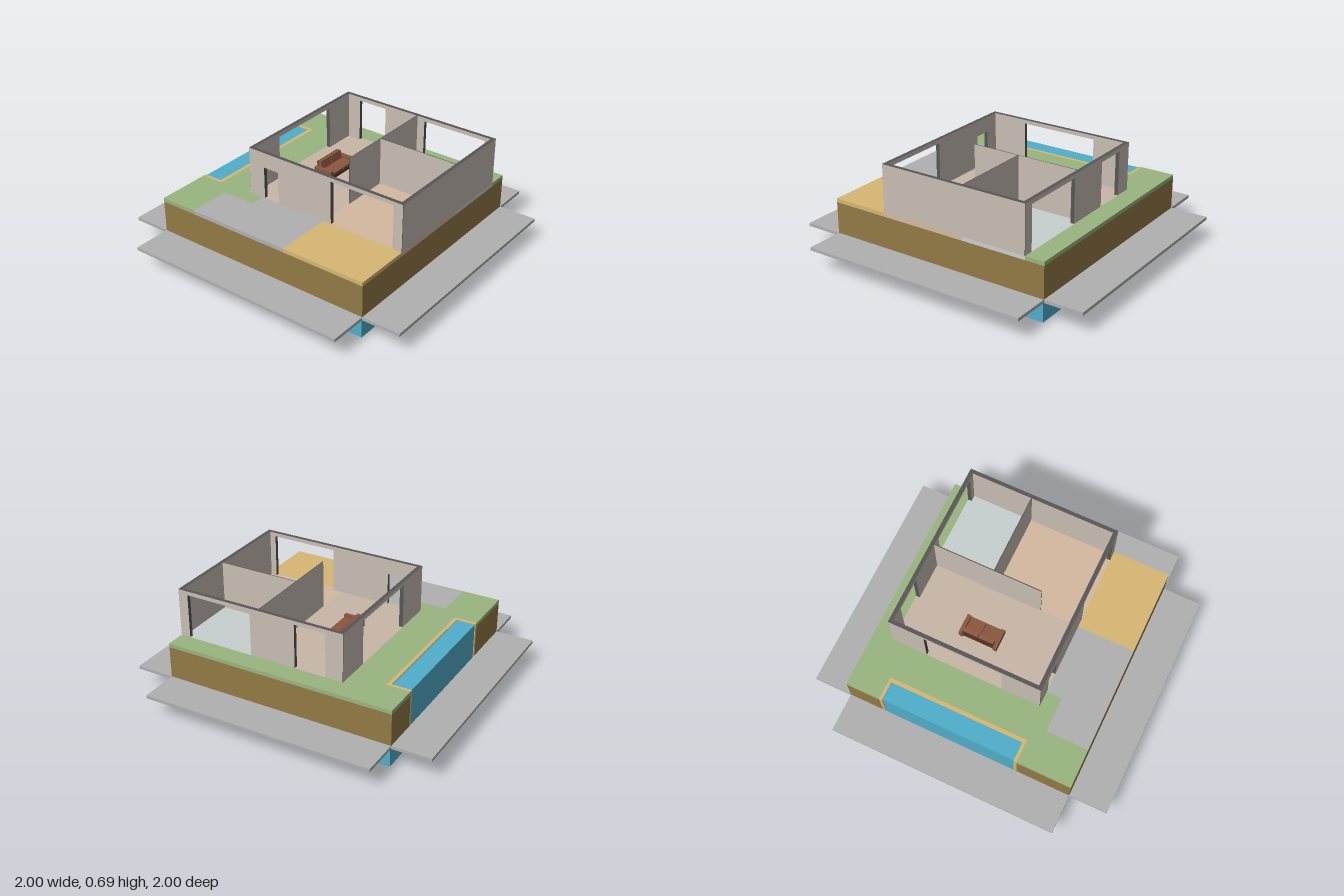
import * as THREE from 'three';

const mat = (color) => new THREE.MeshStandardMaterial({ color });
const M = {
  road: mat(0xb0b0b0), water: mat(0x50aecb), soil: mat(0x937a45), grass: mat(0x9ab580),
  sand: mat(0xd6b774), path: mat(0xb0b0b0), living: mat(0xc8b7a8), bedroom: mat(0xd5b99f),
  bath: mat(0xc8d0d0), wall: mat(0xc8beb4), edge: mat(0x585555),
  leather: mat(0x8a5640), darkLeather: mat(0x5a3424),
};
const FLOOR = 0.38, TILE = 0.355, BASE = 0.15;

// Box given by its extents
function box(name, material, [x0, x1], [y0, y1], [z0, z1]) {
  const mesh = new THREE.Mesh(new THREE.BoxGeometry(x1 - x0, y1 - y0, z1 - z0), material);
  mesh.position.set((x0 + x1) / 2, (y0 + y1) / 2, (z0 + z1) / 2);
  mesh.name = name;
  return mesh;
}

// Plan outline of [x, z] points raised between two heights
function plan(name, material, points, y0, y1) {
  const shape = new THREE.Shape(points.map(([x, z]) => new THREE.Vector2(x, -z)));
  const geo = new THREE.ExtrudeGeometry(shape, { depth: y1 - y0, bevelEnabled: false });
  geo.rotateX(-Math.PI / 2).translate(0, y0, 0);
  const mesh = new THREE.Mesh(geo, material);
  mesh.name = name;
  return mesh;
}

// Wall from a to b with floor-level openings [from, to, top]; its cut edges are dark
function wall(name, a, b, openings, depth, top) {
  const pts = [[a, FLOOR]];
  for (const [from, to, h] of openings) pts.push([from, FLOOR], [from, h], [to, h], [to, FLOOR]);
  pts.push([b, FLOOR], [b, top], [a, top]);
  const shape = new THREE.Shape(pts.map(([x, y]) => new THREE.Vector2(x, y)));
  const geo = new THREE.ExtrudeGeometry(shape, { depth, bevelEnabled: false });
  const mesh = new THREE.Mesh(geo, [M.wall, M.edge]);
  mesh.name = name;
  return mesh;
}
function wallAlongX(name, z, a, b, openings = [], depth = 0.025, top = 0.69) {
  const mesh = wall(name, a, b, openings, depth, top);
  mesh.position.z = z;
  return mesh;
}
function wallAlongZ(name, x, a, b, openings = [], depth = 0.025, top = 0.69) {
  const mesh = wall(name, a, b, openings, depth, top);
  mesh.rotation.y = -Math.PI / 2;
  mesh.position.x = x + depth;
  return mesh;
}

function createSofa() {
  const g = new THREE.Group();
  g.name = 'sofa';
  const x = [-0.18, -0.05];
  g.add(box('sofaBase', M.darkLeather, [-0.17, -0.055], [0.395, 0.42], [-0.25, -0.025]));
  for (const z of [-0.2525, -0.0225]) {
    g.add(box('sofaArm', M.leather, x, [0.4, 0.455], [z - 0.0125, z + 0.0125]));
    for (const lx of [-0.17, -0.06])
      g.add(box('sofaLeg', M.darkLeather, [lx - 0.005, lx + 0.005], [FLOOR, 0.4], [z - 0.005, z + 0.005]));
  }
  // Two seat cushions with leaning back cushions
  for (const z of [-0.189, -0.086]) {
    const span = [z - 0.05, z + 0.05];
    g.add(box('seatCushion', M.leather, [-0.145, -0.05], [0.42, 0.437], span));
    const back = box('backCushion', M.leather, [-0.165, -0.14], [0.415, 0.488], span);
    back.rotation.z = 0.2;
    g.add(back);
  }
  const backrest = box('sofaBack', M.darkLeather, [-0.172, -0.162], [0.4, 0.485], [-0.24, -0.035]);
  backrest.rotation.z = 0.15;
  g.add(backrest);
  return g;
}

export function createModel() {
  const model = new THREE.Group();
  model.name = 'housePlot';

  // Water below and roads on all four sides
  model.add(box('groundWater', M.water, [-0.74, 0.74], [0, BASE - 0.002], [-0.74, 0.74]));
  for (const [a, b] of [[-1, -0.75], [0.75, 1]]) {
    model.add(box('sideRoad', M.road, [a, b], [0.13, BASE], [-0.75, 0.75]));
    model.add(box('endRoad', M.road, [-0.75, 0.75], [0.13, BASE], [a, b]));
  }

  // Soil with a notch for the pool
  const notch = [[-0.75, 0.395], [-0.6, 0.395], [-0.6, -0.525], [-0.75, -0.525]];
  model.add(plan('soil', M.soil,
    [[-0.75, -0.75], [0.75, -0.75], [0.75, 0.75], [-0.75, 0.75], ...notch], BASE - 0.01, TILE));

  // Ground surfaces
  const surface = (name, material, points) => model.add(plan(name, material, points, TILE, FLOOR));
  const rect = (x0, x1, z0, z1) => [[x0, z0], [x1, z0], [x1, z1], [x0, z1]];
  surface('lawn', M.grass, [[-0.75, -0.75], [0.75, -0.75], [0.75, -0.625], [-0.375, -0.625],
    [-0.375, 0.375], [-0.275, 0.375], [-0.275, 0.475], [-0.5, 0.475], [-0.5, 0.75], [-0.75, 0.75], ...notch]);
  surface('pavedYard', M.path,
    [[-0.275, 0.375], [0.19, 0.375], [0.19, 0.75], [-0.5, 0.75], [-0.5, 0.475], [-0.275, 0.475]]);
  surface('terrace', M.sand, rect(0.19, 0.75, 0.375, 0.75));
  surface('livingFloor', M.living, rect(-0.375, 0.19, -0.625, 0.375));
  surface('bedroomFloor', M.bedroom, rect(0.19, 0.75, -0.195, 0.375));
  surface('bathFloor', M.bath, rect(0.19, 0.75, -0.625, -0.195));

  // Pool with a rim on three sides, open to the plot's edge
  model.add(plan('poolRim', M.sand, [[-0.75, -0.525], [-0.6, -0.525], [-0.6, 0.395], [-0.75, 0.395],
    [-0.75, 0.375], [-0.625, 0.375], [-0.625, -0.505], [-0.75, -0.505]], BASE, FLOOR));
  model.add(box('poolWater', M.water, [-0.745, -0.625], [BASE, 0.375], [-0.505, 0.375]));

  // House walls
  const house = new THREE.Group();
  house.name = 'house';
  const wide = [0.245, 0.685, 0.665];
  house.add(
    wallAlongX('frontWall', 0.35, -0.373, 0.748, [[-0.26, -0.15, 0.59], wide]),
    wallAlongX('backWall', -0.625, -0.373, 0.748, [[-0.26, -0.055, 0.665], wide]),
    wallAlongZ('leftWall', 0.725, -0.623, 0.373),
    wallAlongZ('rightWall', -0.375, -0.623, 0.373, [[-0.39, 0.12, 0.665]]),
    wallAlongZ('longPartition', 0.187, -0.6, 0.12, [], 0.006, 0.693),
    wallAlongX('crossPartition', -0.2, 0.192, 0.725, [], 0.006, 0.693),
  );
  model.add(house, createSofa());
  return model;
}
